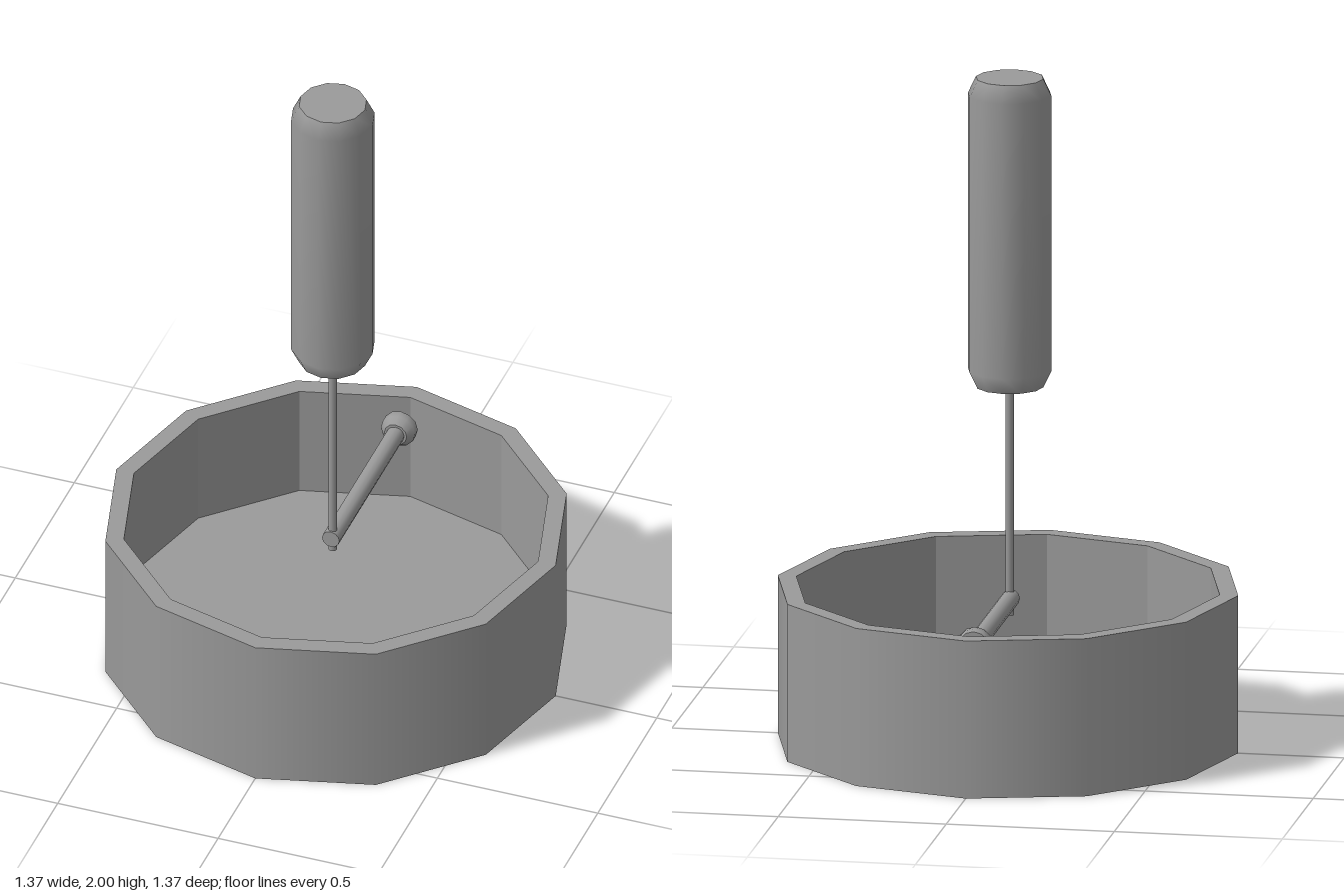
import * as THREE from 'three';

const material = new THREE.MeshStandardMaterial({ color: 0x9a9a9a, side: THREE.DoubleSide });

// 12-sided turned part: each run of [radius, height] points is smooth, with sharp edges between runs
function turned(name, runs) {
  const group = new THREE.Group();
  group.name = name;
  for (const run of runs) {
    const points = run.map(([r, y]) => new THREE.Vector2(r, y));
    group.add(new THREE.Mesh(new THREE.LatheGeometry(points, 12), material));
  }
  group.children.forEach((mesh, i) => { mesh.name = `${name}Surface${i + 1}`; });
  return group;
}

// Closed turned part: a profile capped flat at both ends
function capped(name, profile) {
  const [first, last] = [profile[0], profile[profile.length - 1]];
  return turned(name, [[[0, first[1]], first], profile, [last, [0, last[1]]]]);
}

export function createModel() {
  const model = new THREE.Group();
  model.name = 'basinWithHandle';

  // Open tub: outer skirt, flat rim and raised floor
  model.add(turned('basin', [
    [[0.685, 0], [0.685, 0.475]],
    [[0.685, 0.475], [0.63, 0.475]],
    [[0.63, 0.115], [0, 0.115]],
  ]));

  // Faceted inner wall
  const wall = new THREE.LatheGeometry(
    [new THREE.Vector2(0.63, 0.475), new THREE.Vector2(0.63, 0.115)], 12).toNonIndexed();
  wall.computeVertexNormals();
  const innerWall = new THREE.Mesh(wall, material);
  innerWall.name = 'innerWall';
  model.add(innerWall);

  // Upright handle with chamfered ends on a thin rod
  const handle = capped('handle', [[0.1, 1.07], [0.124, 1.12], [0.124, 1.95], [0.1, 2]]);
  const rod = capped('rod', [[0.013, 0.38], [0.013, 1.08]]);
  for (const part of [handle, rod]) {
    part.position.z = 0.027;
    model.add(part);
  }

  // Horizontal arm reaching backwards, ending in a bevelled knob
  const arm = new THREE.Group();
  arm.name = 'arm';
  arm.add(
    capped('armBar', [[0.027, -0.045], [0.027, 0.52]]),
    capped('armKnob', [[0.035, 0.505], [0.053, 0.525], [0.053, 0.55], [0.046, 0.558]]),
  );
  arm.rotation.x = -Math.PI / 2;
  arm.position.y = 0.426;
  model.add(arm);

  return model;
}
